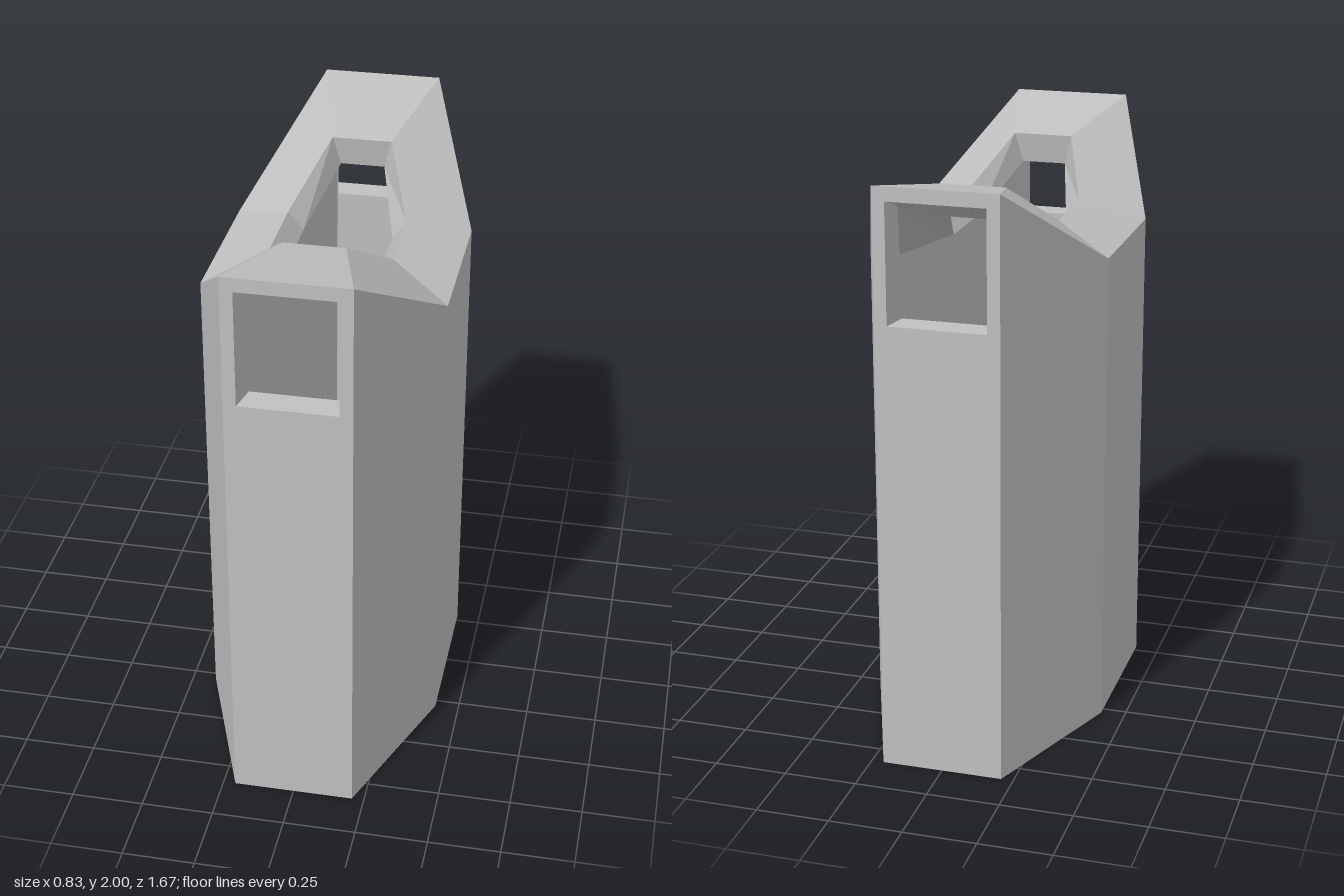
import * as THREE from 'three';

// Eight-point ring from one end corner a and one side corner b, mirrored in x and z
const ring = (a, b) => {
  const p = (v, sx, sz) => [v[0] * sx, v[1], v[2] * sz];
  return [p(a, 1, 1), p(b, 1, 1), p(b, 1, -1), p(a, 1, -1),
    p(a, -1, -1), p(b, -1, -1), p(b, -1, 1), p(a, -1, 1)];
};

// Flat-shaded quads joining successive closed loops of points, leaving out some edges
const bands = (loops, skip = []) => {
  const pos = [];
  for (let j = 0; j < loops.length - 1; j++) {
    const l = loops[j], u = loops[j + 1], n = l.length;
    for (let i = 0; i < n; i++) {
      if (skip.includes(i)) continue;
      const k = (i + 1) % n;
      pos.push(...l[i], ...l[k], ...u[k], ...l[i], ...u[k], ...u[i]);
    }
  }
  const g = new THREE.BufferGeometry();
  g.setAttribute('position', new THREE.Float32BufferAttribute(pos, 3));
  g.computeVertexNormals();
  return g;
};

export function createModel() {
  const group = new THREE.Group();
  const grey = new THREE.MeshStandardMaterial({ color: 0xc0c0c0 });
  grey.name = 'plain grey';
  const add = (name, geometry) => {
    const mesh = new THREE.Mesh(geometry, grey);
    mesh.name = name;
    group.add(mesh);
  };

  // Cross-section rings of the hollow eight-sided tower
  const holeBottom = ring([0.105, 0, 0.418], [0.21, 0, 0.14]);
  const outerBottom = ring([0.208, 0, 0.835], [0.416, 0, 0.279]);
  const outerTop = ring([0.208, 2, 0.835], [0.416, 1.67, 0.279]);
  const rimOuter = ring([0.105, 1.92, 0.418], [0.208, 1.752, 0.14]);
  const rimInner = ring([0.078, 1.815, 0.435], [0.157, 1.68, 0.158]);
  const innerTop = ring([0.158, 1.93, 0.777], [0.32, 1.625, 0.272]);
  const innerBottom = ring([0.16, 0.06, 0.766], [0.34, 0.07, 0.266]);
  const holeTop = ring([0.105, 0.105, 0.418], [0.21, 0.105, 0.14]);

  const ends = [3, 7]; // edges that carry the windowed end walls
  add('outerWalls', bands([outerBottom, outerTop], ends));
  add('slopedRoof', bands([outerTop, rimOuter]));
  add('roofOpeningRim', bands([rimOuter, rimInner]));
  add('ceiling', bands([rimInner, innerTop]));
  add('innerWalls', bands([innerTop, innerBottom], ends));
  add('floor', bands([innerBottom, holeTop]));
  add('floorOpeningRim', bands([holeTop, holeBottom]));
  add('underside', bands([holeBottom, outerBottom]));

  // End walls: outside face, window tunnel and inside face
  for (const i of ends) {
    const s = i === 7 ? 1 : -1, k = (i + 1) % 8;
    const corners = (low, high) => [low[i], low[k], high[k], high[i]];
    const opening = (xLow, xHigh, y0, y1, z) =>
      [[-xLow, y0], [xLow, y0], [xHigh, y1], [-xHigh, y1]].map(([x, y]) => [x * s, y, z * s]);
    add(s > 0 ? 'frontWindowWall' : 'backWindowWall', bands([
      corners(outerBottom, outerTop),
      opening(0.165, 0.165, 1.55, 1.952, 0.835),
      opening(0.146, 0.155, 1.55, 1.92, 0.738),
      corners(innerBottom, innerTop),
    ]));
  }
  return group;
}
